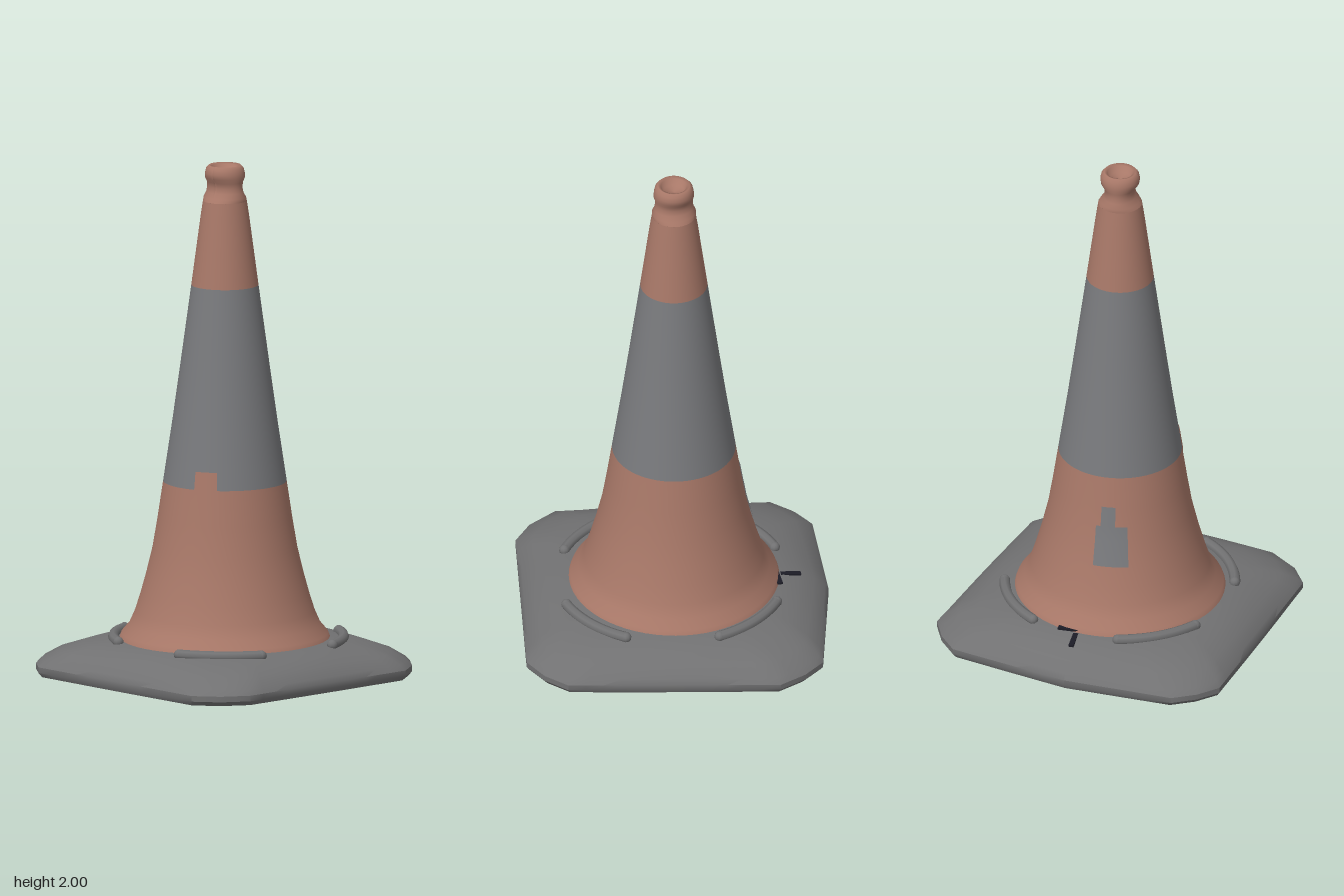
import * as THREE from 'three';
import { toCreasedNormals } from 'three/addons/utils/BufferGeometryUtils.js';

const mat = (name, color) => {
  const m = new THREE.MeshStandardMaterial({ color, side: THREE.DoubleSide });
  m.name = name;
  return m;
};

// Cone silhouette: [height, radius]
const PROFILE = [
  [0.14, 0.41], [0.165, 0.4], [0.2, 0.37], [0.25, 0.348], [0.32, 0.326], [0.4, 0.304], [0.5, 0.28],
  [0.62, 0.26], [0.76, 0.239], [1.0, 0.203], [1.2, 0.175], [1.53, 0.13], [1.8, 0.094], [1.86, 0.085],
];

function radiusAt(y) {
  for (let i = 1; i < PROFILE.length; i++) {
    const [y0, r0] = PROFILE[i - 1], [y1, r1] = PROFILE[i];
    if (y <= y1) return r0 + ((r1 - r0) * (y - y0)) / (y1 - y0);
  }
  return PROFILE[PROFILE.length - 1][1];
}

// Slice of the cone between two heights, optionally only a sector of it
function coneBand(y0, y1, offset = 0, startDeg = 0, spanDeg = 360) {
  const heights = [y0, ...PROFILE.map((p) => p[0]).filter((y) => y > y0 && y < y1), y1];
  const pts = heights.map((y) => new THREE.Vector2(radiusAt(y) + offset, y));
  const rad = THREE.MathUtils.degToRad;
  return new THREE.LatheGeometry(pts, spanDeg === 360 ? 64 : 10, rad(startDeg), rad(spanDeg));
}

// Base plate outline (x, z), a turned square with cut corners
const OUTLINE = [
  [0.635, -0.3], [0.505, 0.5], [0.43, 0.59], [0.33, 0.648], [-0.52, 0.527], [-0.59, 0.455], [-0.64, 0.364],
  [-0.61, -0.07], [-0.485, -0.544], [-0.4, -0.61], [-0.295, -0.655], [0.51, -0.485], [0.585, -0.405],
];

// Plate rings blend from the outline to a circle under the cone
function baseGeometry() {
  const rim = [];
  OUTLINE.forEach(([x, z], i) => {
    const [nx, nz] = OUTLINE[(i + 1) % OUTLINE.length];
    const steps = Math.max(1, Math.round(Math.hypot(nx - x, nz - z) / 0.07));
    for (let s = 0; s < steps; s++) rim.push([x + ((nx - x) * s) / steps, z + ((nz - z) * s) / steps]);
  });
  const rings = [[0.04, 0.003], [0, 0.02], [0, 0.042], [0.06, 0.062], [0.25, 0.098], [0.5, 0.125], [0.75, 0.142], [1, 0.15]];
  const n = rim.length, pos = [], idx = [];
  for (const [t, y] of rings) {
    for (const [x, z] of rim) {
      const k = 1 - t + (t * 0.385) / Math.hypot(x, z);
      pos.push(x * k, y, z * k);
    }
  }
  for (let r = 0; r < rings.length - 1; r++) {
    for (let i = 0; i < n; i++) {
      const a = r * n + i, b = r * n + ((i + 1) % n);
      idx.push(a, a + n, b, b, a + n, b + n);
    }
  }
  const centre = pos.length / 3;
  pos.push(0, 0.003, 0);
  for (let i = 0; i < n; i++) idx.push(centre, i, (i + 1) % n);
  const g = new THREE.BufferGeometry();
  g.setAttribute('position', new THREE.Float32BufferAttribute(pos, 3));
  g.setIndex(idx);
  return toCreasedNormals(g, 0.6);
}

// Gripping neck with a rolled rim and a dished top, pinched front to back
function neckGeometry() {
  const pts = [
    [0.085, 1.86], [0.076, 1.875], [0.062, 1.895], [0.058, 1.915], [0.062, 1.935], [0.074, 1.952],
    [0.077, 1.97], [0.073, 1.988], [0.062, 2.0], [0.05, 1.995], [0.04, 1.972], [0, 1.965],
  ].map(([r, y]) => new THREE.Vector2(r, y));
  const g = new THREE.LatheGeometry(pts, 48);
  const p = g.attributes.position;
  for (let i = 0; i < p.count; i++) {
    const t = THREE.MathUtils.clamp((p.getY(i) - 1.86) / 0.1, 0, 1);
    p.setX(i, p.getX(i) * (1 + 0.28 * Math.sin(Math.PI * t)));
  }
  g.computeVertexNormals();
  return g;
}

// Raised curved rib on the plate
class RibCurve extends THREE.Curve {
  constructor(start, span) {
    super();
    this.start = start;
    this.span = span;
  }
  getPoint(t, target = new THREE.Vector3()) {
    const a = this.start + this.span * t;
    return target.set(0.445 * Math.cos(a), 0.148, 0.445 * Math.sin(a));
  }
}

export function createModel() {
  const model = new THREE.Group();
  model.name = 'trafficCone';
  const orange = mat('faded orange', 0xa87868);
  const grey = mat('stripe grey', 0x797a7d);
  const rubber = mat('rubber grey', 0x717172);
  const dark = mat('dark', 0x1c1c26);
  const add = (name, geometry, material, parent = model) => {
    const m = new THREE.Mesh(geometry, material);
    m.name = name;
    parent.add(m);
    return m;
  };

  // Base plate with four ribs
  add('basePlate', baseGeometry(), rubber);
  for (let i = 0; i < 4; i++) {
    const start = THREE.MathUtils.degToRad(35 + 90 * i), span = THREE.MathUtils.degToRad(42);
    const curve = new RibCurve(start, span);
    add('baseRib', new THREE.TubeGeometry(curve, 20, 0.021, 8), rubber);
    for (const t of [0, 1]) add('ribEnd', new THREE.SphereGeometry(0.021, 10, 8), rubber).position.copy(curve.getPoint(t));
  }

  // Dark area on the underside, along one edge
  const under = new THREE.Shape([
    [-0.6, 0.335], [-0.44, 0.2], [-0.36, 0.09], [-0.475, -0.02], [-0.34, -0.35], [-0.2, -0.6],
    [-0.285, -0.63], [-0.47, -0.525], [-0.59, -0.07],
  ].map(([x, z]) => new THREE.Vector2(x, z)));
  add('undersidePatch', new THREE.ShapeGeometry(under).rotateX(Math.PI / 2), dark);

  // Split in the plate
  const crack = add('plateCrack', new THREE.BoxGeometry(0.08, 0.008, 0.02), dark);
  crack.position.set(-0.46, 0.137, -0.07);
  crack.rotation.z = 0.12;
  const gap = add('plateGap', new THREE.BoxGeometry(0.022, 0.008, 0.08), dark);
  gap.position.set(-0.402, 0.15, -0.105);

  // Cone body in coloured bands
  const cone = new THREE.Group();
  cone.name = 'cone';
  cone.position.set(-0.014, 0, 0.005);
  model.add(cone);
  add('lowerBand', coneBand(0.14, 0.76), orange, cone);
  add('middleBand', coneBand(0.76, 1.53), grey, cone);
  add('upperBand', coneBand(1.53, 1.86), orange, cone);
  add('neck', neckGeometry(), orange, cone);

  // Worn spots where the colours overlap
  add('wornSpot', coneBand(0.4, 0.56, 0.004, 264, 26), grey, cone);
  add('wornSpotUpper', coneBand(0.56, 0.64, 0.004, 268, 12), grey, cone);
  add('stripeChip', coneBand(0.755, 0.83, 0.003, 9, 22), orange, cone);
  return model;
}
